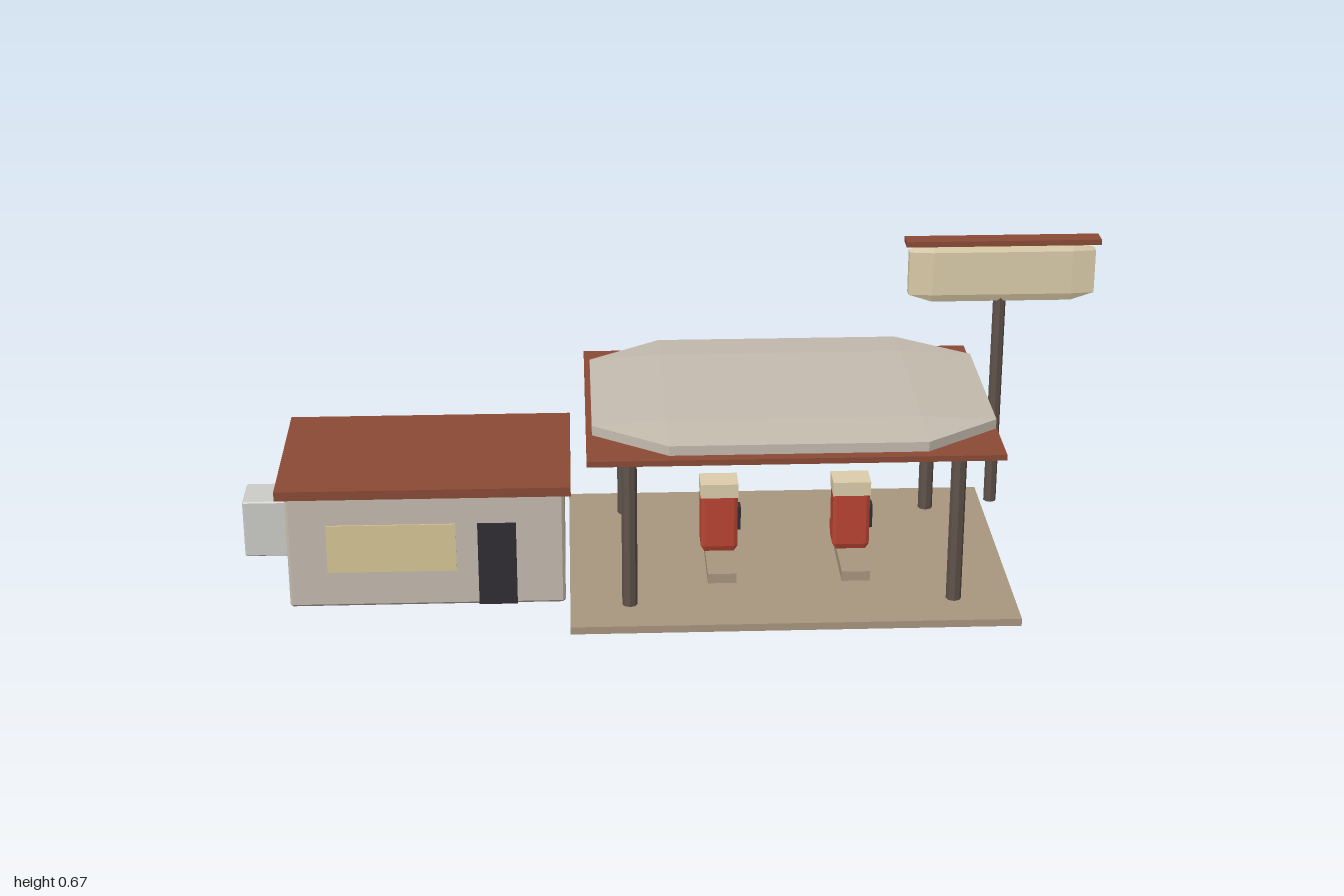
import * as THREE from 'three';
import { ConvexGeometry } from 'three/addons/geometries/ConvexGeometry.js';

const material = (color) => new THREE.MeshStandardMaterial({ color, flatShading: true });
const rust = material(0x8a4a35), wall = material(0xc4bbae), cream = material(0xdccdaa),
  red = material(0xb84432), dark = material(0x302d33), concrete = material(0xa8967e),
  steel = material(0x5f524b), glass = material(0xd6c594), white = material(0xcbccc7);

function add(parent, name, geometry, mat) {
  const mesh = new THREE.Mesh(geometry, mat);
  mesh.name = name;
  parent.add(mesh);
  return mesh;
}

// Box given by its [min, max] extents on each axis
function box(parent, name, mat, [x0, x1], [y0, y1], [z0, z1]) {
  const mesh = add(parent, name, new THREE.BoxGeometry(x1 - x0, y1 - y0, z1 - z0), mat);
  mesh.position.set((x0 + x1) / 2, (y0 + y1) / 2, (z0 + z1) / 2);
  return mesh;
}

// Box with every edge cut; the cut may differ per axis
function chamferBox(parent, name, mat, [x0, x1], [y0, y1], [z0, z1], [cx, cy, cz]) {
  const half = [(x1 - x0) / 2, (y1 - y0) / 2, (z1 - z0) / 2];
  const cut = [cx, cy, cz];
  const points = [];
  for (const sx of [-1, 1]) for (const sy of [-1, 1]) for (const sz of [-1, 1]) {
    const sign = [sx, sy, sz];
    for (let face = 0; face < 3; face++) {
      points.push(new THREE.Vector3(...sign.map((s, i) => s * (half[i] - (i === face ? 0 : cut[i])))));
    }
  }
  const mesh = add(parent, name, new ConvexGeometry(points), mat);
  mesh.position.set((x0 + x1) / 2, (y0 + y1) / 2, (z0 + z1) / 2);
  return mesh;
}

// Upright eight-sided post
function post(parent, name, x, z, radius, y0, y1) {
  const mesh = add(parent, name, new THREE.CylinderGeometry(radius, radius, y1 - y0, 8), steel);
  mesh.position.set(x, (y0 + y1) / 2, z);
}

function group(parent, name) {
  const g = new THREE.Group();
  g.name = name;
  parent.add(g);
  return g;
}

export function createModel() {
  const model = new THREE.Group();
  model.name = 'fuelStation';

  box(model, 'forecourt', concrete, [-0.25, 0.738], [0, 0.017], [-0.357, 0.357]);

  // Office with overhanging roof, window, door and a side cabinet
  const office = group(model, 'office');
  chamferBox(office, 'officeWalls', wall, [-0.872, -0.26], [0, 0.268], [-0.199, 0.199], [0.006, 0.006, 0.006]);
  box(office, 'officeRoof', rust, [-0.892, -0.245], [0.267, 0.288], [-0.215, 0.217]);
  box(office, 'window', glass, [-0.785, -0.5], [0.085, 0.198], [0.19, 0.202]);
  box(office, 'door', dark, [-0.452, -0.367], [0.002, 0.198], [0.19, 0.204]);
  chamferBox(office, 'sideCabinet', white, [-1, -0.89], [0.003, 0.14], [-0.172, -0.064], [0.003, 0.003, 0.003]);

  // Canopy: thin slab, faceted cap and four posts
  const canopy = group(model, 'canopy');
  box(canopy, 'canopySlab', rust, [-0.21, 0.692], [0.384, 0.397], [-0.331, 0.331]);
  chamferBox(canopy, 'canopyCap', wall, [-0.197, 0.687], [0.394, 0.436], [-0.321, 0.321], [0.163, 0.01, 0.121]);
  for (const x of [-0.118, 0.602]) {
    for (const z of [-0.246, 0.246]) post(canopy, 'canopyPost', x, z, 0.017, 0, 0.39);
  }

  // Two pumps, each on its own island
  for (const x of [0.092, 0.394]) {
    const pump = group(model, 'pump');
    pump.position.x = x;
    box(pump, 'island', concrete, [-0.032, 0.032], [0.015, 0.04], [-0.151, 0.151]);
    chamferBox(pump, 'pumpBody', red, [-0.042, 0.042], [0.04, 0.19], [-0.033, 0.033], [0.008, 0.013, 0.005]);
    box(pump, 'pumpHead', cream, [-0.043, 0.043], [0.174, 0.207], [-0.034, 0.034]);
    box(pump, 'pumpPanel', dark, [0.036, 0.05], [0.086, 0.142], [-0.015, 0.015]);
  }

  // Tall roadside sign
  const sign = group(model, 'roadSign');
  post(sign, 'signPole', 0.77, -0.32, 0.015, 0, 0.53);
  chamferBox(sign, 'signBoard', cream, [0.553, 0.99], [0.517, 0.657], [-0.339, -0.301], [0.055, 0.018, 0.007]);
  box(sign, 'signCap', rust, [0.544, 1], [0.655, 0.668], [-0.343, -0.297]);

  return model;
}
